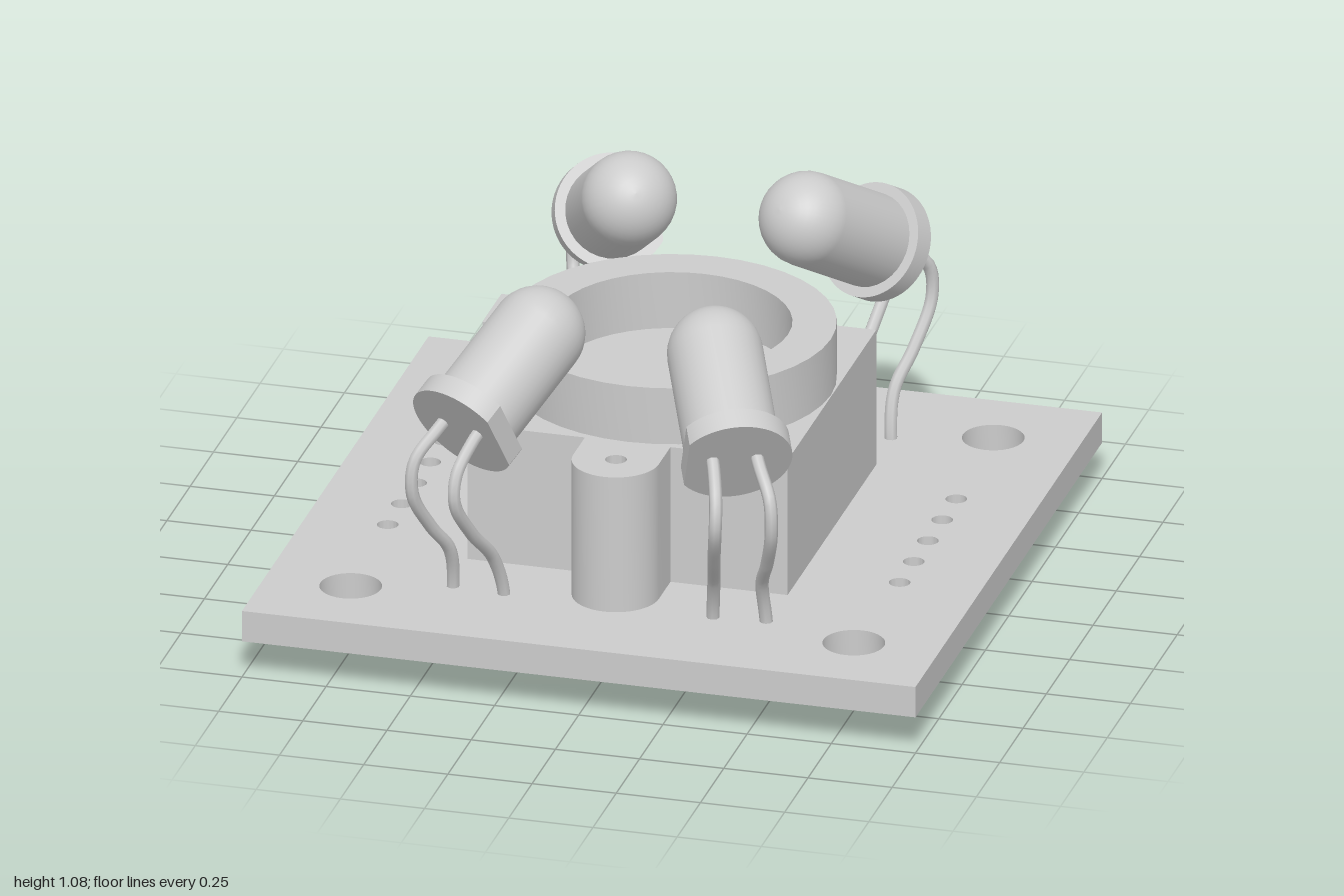
import * as THREE from 'three';
import { toCreasedNormals } from 'three/addons/utils/BufferGeometryUtils.js';

const grey = new THREE.MeshStandardMaterial({ color: 0xcccccc });

function addMesh(parent, name, geometry) {
  const mesh = new THREE.Mesh(geometry, grey);
  mesh.name = name;
  parent.add(mesh);
  return mesh;
}

function addHole(shape, x, y, r) {
  shape.holes.push(new THREE.Path().absarc(x, y, r, 0, Math.PI * 2, true));
}

// Extrude a plan outline upwards from y = bottom to y = top
function extrudeUp(shape, bottom, top, curveSegments = 12) {
  const geo = new THREE.ExtrudeGeometry(shape, { depth: top - bottom, bevelEnabled: false, curveSegments });
  geo.rotateX(-Math.PI / 2);
  geo.translate(0, bottom, 0);
  return toCreasedNormals(geo, 0.6);
}

function boardGeometry() {
  const s = new THREE.Shape();
  s.moveTo(-1, -1).lineTo(1, -1).lineTo(1, 1).lineTo(-1, 1).closePath();
  for (const sx of [-1, 1]) {
    for (const sz of [-1, 1]) addHole(s, sx * 0.747, sz * 0.747, 0.09);
    for (let i = -2; i <= 2; i++) addHole(s, sx * 0.76, i * 0.152, 0.031);
  }
  for (const sz of [-1, 1]) addHole(s, 0, sz * 0.6, 0.031);
  return extrudeUp(s, 0.11, 0.205, 16);
}

// Square block with a rounded screw ear at front and back
function housingGeometry() {
  const h = 0.475, e = 0.127;
  const s = new THREE.Shape();
  s.moveTo(-h, -h).lineTo(-e, -h).lineTo(-e, -0.6);
  s.absarc(0, -0.6, e, Math.PI, Math.PI * 2, false);
  s.lineTo(e, -h).lineTo(h, -h).lineTo(h, h).lineTo(e, h).lineTo(e, 0.6);
  s.absarc(0, 0.6, e, 0, Math.PI, false);
  s.lineTo(-e, h).lineTo(-h, h).closePath();
  for (const sz of [-1, 1]) addHole(s, 0, sz * 0.6, 0.031);
  return extrudeUp(s, 0.205, 0.627, 16);
}

function ringGeometry() {
  const s = new THREE.Shape().absarc(0, 0, 0.472, 0, Math.PI * 2, false);
  addHole(s, 0, 0, 0.345);
  return extrudeUp(s, 0.627, 0.802, 20);
}

const bulbRadius = 0.138, bulbLength = 0.385;

// Cylinder ending in a hemisphere, base at the origin
function bulbGeometry() {
  const pts = [new THREE.Vector2(bulbRadius, 0.03)];
  for (let i = 0; i <= 10; i++) {
    const a = (i / 10) * Math.PI / 2;
    pts.push(new THREE.Vector2(bulbRadius * Math.cos(a), bulbLength + bulbRadius * Math.sin(a)));
  }
  pts[pts.length - 1].x = 0;
  return new THREE.LatheGeometry(pts, 32);
}

// Disc with one side cut flat (towards local +x)
function flangeGeometry() {
  const r = 0.168, a = Math.acos(0.138 / r);
  const s = new THREE.Shape();
  s.absarc(0, 0, r, a, Math.PI * 2 - a, false);
  s.closePath();
  return extrudeUp(s, 0, 0.065, 32);
}

// Bent wires: [x, y, z] for the front left lamp
const leadPaths = {
  outerLead: [[0.455, 0.775, 0.75], [0.478, 0.745, 0.79], [0.527, 0.67, 0.855], [0.533, 0.57, 0.86],
    [0.5, 0.44, 0.785], [0.464, 0.34, 0.71], [0.464, 0.22, 0.67], [0.485, 0, 0.675]],
  innerLead: [[0.34, 0.775, 0.805], [0.358, 0.745, 0.845], [0.385, 0.67, 0.92], [0.387, 0.59, 0.935],
    [0.36, 0.46, 0.85], [0.328, 0.34, 0.735], [0.31, 0.2, 0.68], [0.313, 0, 0.69]],
};

function createLamp(name, sx, sz) {
  const lamp = new THREE.Group();
  lamp.name = name;

  // Lamp head tilts 30 degrees up and leans in towards the centre
  const yaw = THREE.MathUtils.degToRad(25), pitch = THREE.MathUtils.degToRad(30);
  const axis = new THREE.Vector3(
    -sx * Math.sin(yaw) * Math.cos(pitch), Math.sin(pitch), -sz * Math.cos(yaw) * Math.cos(pitch));
  const inward = new THREE.Vector3(-sx * Math.cos(yaw), 0, sz * Math.sin(yaw));
  const third = new THREE.Vector3().crossVectors(inward, axis);
  const head = new THREE.Group();
  head.name = 'lampHead';
  head.quaternion.setFromRotationMatrix(new THREE.Matrix4().makeBasis(inward, axis, third));
  head.position.set(sx * 0.405, 0.751, sz * 0.793);
  addMesh(head, 'bulb', bulbGeometry());
  addMesh(head, 'flange', flangeGeometry());
  lamp.add(head);

  // Leads run from the flange down through the board
  for (const [leadName, path] of Object.entries(leadPaths)) {
    const pts = path.map(([x, y, z]) => new THREE.Vector3(sx * x, y, sz * z));
    const curve = new THREE.CatmullRomCurve3(pts);
    addMesh(lamp, leadName, new THREE.TubeGeometry(curve, 40, 0.019, 8));
    const end = pts[pts.length - 1];
    const cap = new THREE.CircleGeometry(0.019, 8).rotateX(Math.PI / 2);
    addMesh(lamp, leadName + 'Tip', cap.translate(end.x, 0.001, end.z));
  }
  return lamp;
}

export function createModel() {
  const model = new THREE.Group();
  model.name = 'sensorBoard';
  addMesh(model, 'board', boardGeometry());
  addMesh(model, 'housing', housingGeometry());
  addMesh(model, 'lensRing', ringGeometry());

  // Upright tab on the right side of the housing
  addMesh(model, 'sideTab', new THREE.BoxGeometry(0.06, 0.43, 0.205)).position.set(-0.505, 0.565, 0);

  for (const [sz, end] of [[1, 'front'], [-1, 'back']])
    for (const [sx, side] of [[1, 'Left'], [-1, 'Right']])
      model.add(createLamp(end + side + 'Lamp', sx, sz));
  return model;
}
